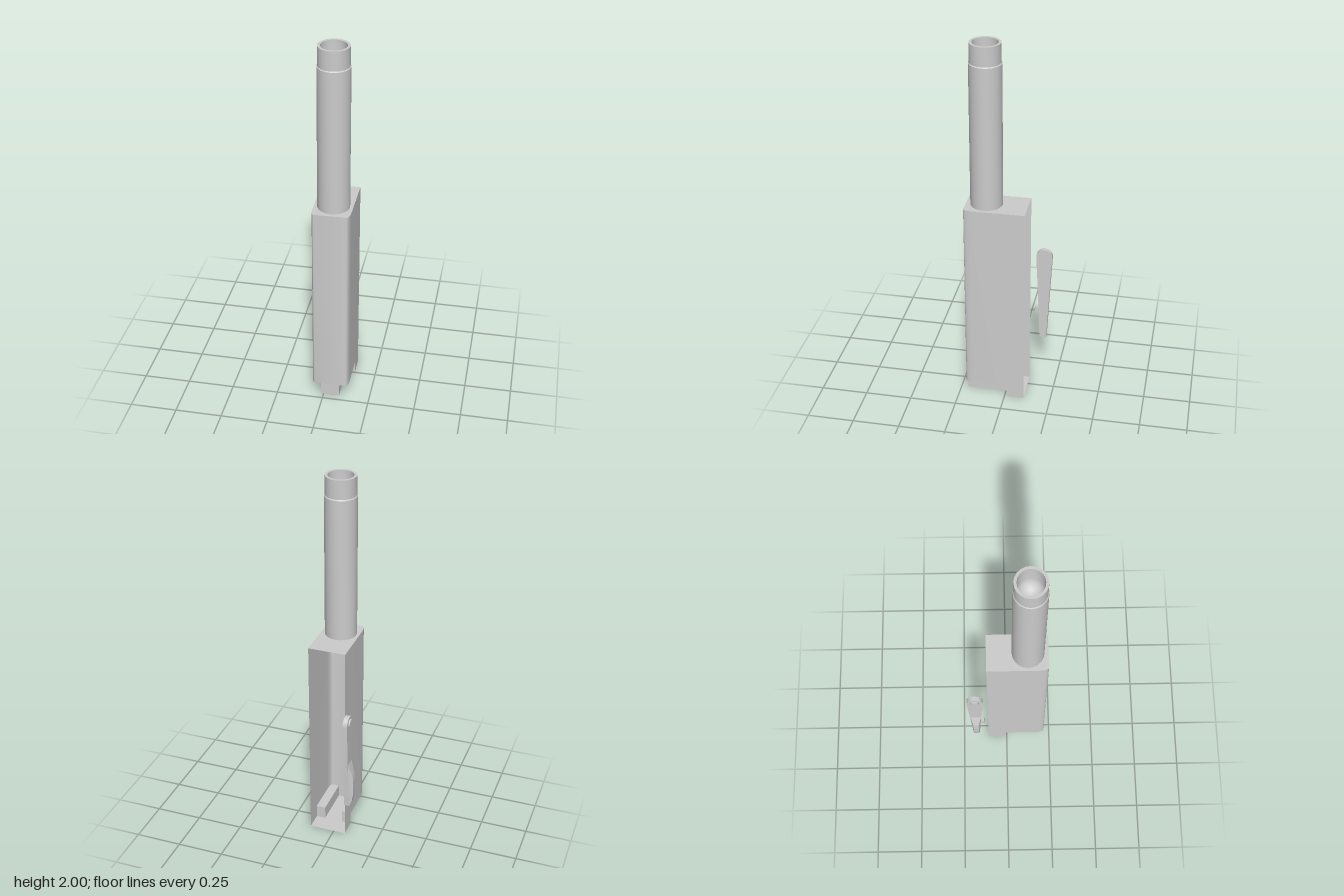
import * as THREE from 'three';
import { toCreasedNormals } from 'three/addons/utils/BufferGeometryUtils.js';
import { ConvexGeometry } from 'three/addons/geometries/ConvexGeometry.js';

const material = new THREE.MeshStandardMaterial({ color: 0xcccccc, side: THREE.DoubleSide });

function add(parent, name, geometry) {
  const mesh = new THREE.Mesh(toCreasedNormals(geometry, 0.6), material);
  mesh.name = name;
  parent.add(mesh);
  return mesh;
}

// Thin upright wall following a plan path of [x, z] points
function wall(path, y0, y1) {
  const pos = [], index = [];
  path.forEach(([x, z], i) => {
    pos.push(x, y0, z, x, y1, z);
    const a = i * 2;
    if (i) index.push(a - 2, a, a - 1, a - 1, a, a + 1);
  });
  const g = new THREE.BufferGeometry();
  g.setAttribute('position', new THREE.Float32BufferAttribute(pos, 3));
  g.setIndex(index);
  g.computeVertexNormals();
  return g;
}

// Flat horizontal panel with a plan outline; faces up, or down when flipped
function panel(outline, y, down = false) {
  const s = down ? 1 : -1;
  const g = new THREE.ShapeGeometry(new THREE.Shape(outline.map(([x, z]) => new THREE.Vector2(x, s * z))));
  return g.rotateX(s * Math.PI / 2).translate(0, y, 0);
}

export function createModel() {
  const model = new THREE.Group();
  model.name = 'barrelAssembly';
  const cx = 0.035, half = 0.1, back = -0.105, front = 0.215;
  const foot = 0.05, notchZ = -0.01, notchY = 0.07, top = 1.13;

  // Half of the housing plan, from the back edge round the soft front corner
  const side = (s) => {
    const pts = [[cx + s * half, back]];
    for (let i = 0; i <= 5; i++) {
      const a = i / 5 * Math.PI / 2;
      pts.push([cx + s * (half - 0.016 + 0.016 * Math.cos(a)), front - 0.05 + 0.05 * Math.sin(a)]);
    }
    return pts;
  };
  const outline = [...side(-1), ...side(1).reverse()];
  const base = [
    [cx - half, back], [cx - half, notchZ], [cx - foot, notchZ], [cx - foot, front],
    [cx + foot, front], [cx + foot, notchZ], [cx + half, notchZ], [cx + half, back]];

  // Housing: thin shell, open at the back, notched at both lower front corners
  const housing = new THREE.Group();
  housing.name = 'housing';
  model.add(housing);
  add(housing, 'housingWalls', wall(outline, notchY, top));
  add(housing, 'housingTop', panel(outline, top));
  add(housing, 'footWalls', wall(base, 0, notchY));
  add(housing, 'footFloor', panel(base, 0, true));
  for (const s of [-1, 1]) {
    const ledge = [
      [cx + s * foot, notchZ], [cx + s * half, notchZ], ...side(s).slice(1), [cx + s * foot, front]];
    add(housing, s < 0 ? 'rightNotchLedge' : 'leftNotchLedge', panel(ledge, notchY, true));
  }

  // Barrel: stepped muzzle and a bore with a domed end
  const profile = [
    [0, 1.1], [0.084, 1.1], [0.084, 1.895], [0.08, 1.9], [0.08, 2], [0.066, 2], [0.066, 1.9]]
    .map(([r, y]) => new THREE.Vector2(r, y));
  for (let i = 1; i <= 6; i++) {
    const a = i / 6 * Math.PI / 2;
    profile.push(new THREE.Vector2(0.066 * Math.cos(a), 1.9 - 0.066 * Math.sin(a)));
  }
  add(model, 'barrel', new THREE.LatheGeometry(profile, 20)).position.set(cx, 0, 0.11);

  // Lever: flat tapered plate with a round head and a small spur
  const lever = new THREE.Group();
  lever.name = 'lever';
  model.add(lever);
  const plate = new THREE.Shape();
  plate.moveTo(0.153, 0.26);
  [[0.148, 0.415], [0.136, 0.422], [0.122, 0.43], [0.128, 0.445], [0.146, 0.45], [0.13, 0.768]]
    .forEach(([u, y]) => plate.lineTo(u, y));
  plate.absarc(0.173, 0.768, 0.043, Math.PI, 0, true);
  plate.lineTo(0.19, 0.26);
  const plateGeo = new THREE.ExtrudeGeometry(plate, { depth: 0.025, bevelEnabled: false, curveSegments: 12 });
  add(lever, 'leverPlate', plateGeo.rotateY(Math.PI / 2).translate(-0.115, 0, 0));

  // Raised grip on the lower half: [y, x, half width]
  const grip = [];
  for (const [y, x, w] of [
    [0.53, -0.114, 0.03], [0.46, -0.114, 0.027], [0.26, -0.114, 0.0185],
    [0.46, -0.136, 0.016], [0.44, -0.139, 0.014], [0.33, -0.139, 0.014],
    [0.29, -0.132, 0.015], [0.26, -0.118, 0.017]]) {
    for (const s of [-1, 1]) grip.push(new THREE.Vector3(x, y, -0.172 + s * w));
  }
  add(lever, 'leverGrip', new ConvexGeometry(grip));

  // Pivot pin on the round head
  const pin = new THREE.CylinderGeometry(0.024, 0.024, 0.01, 16).rotateZ(Math.PI / 2);
  add(lever, 'leverPivot', pin).position.set(-0.118, 0.772, -0.173);

  return model;
}
